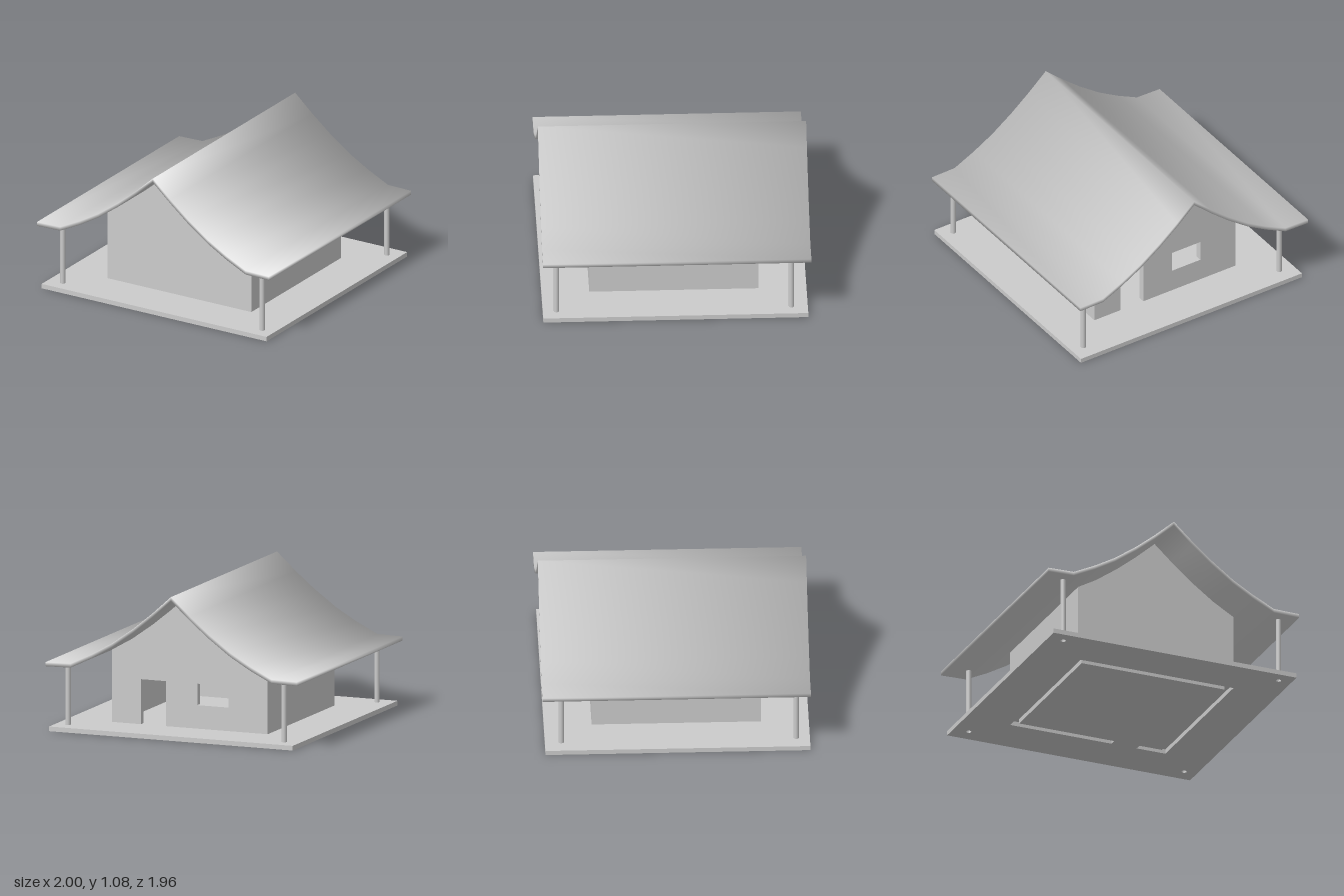
import * as THREE from 'three';

const material = new THREE.MeshStandardMaterial({ color: 0xcccccc });
const FLOOR = 0.035, ROOF_T = 0.03, WALL_T = 0.05;
const LO = -0.61, HI = 0.63; // house footprint, same in x and z
const DOOR = [0.2, 0.4];

// Right half of the swept roof line, ridge to eave
const half = [[0, 1.075], [0.15, 0.94], [0.3, 0.817], [0.47, 0.695], [0.63, 0.603], [0.8, 0.52], [1, 0.516]];
const roofLine = [...half.slice(1).reverse().map(([x, y]) => [-x, y]), ...half];

// Height inside the roof thickness, so walls meet it without gaps
function wallTop(x) {
  const a = Math.abs(x);
  const i = half.findIndex((p) => p[0] >= a);
  if (i === 0) return half[0][1] - ROOF_T / 2;
  const [x0, y0] = half[i - 1], [x1, y1] = half[i];
  return y0 + (y1 - y0) * (a - x0) / (x1 - x0) - ROOF_T / 2;
}

function toShape(points) {
  return new THREE.Shape(points.map(([x, y]) => new THREE.Vector2(x, y)));
}

function addMesh(group, name, geometry) {
  const mesh = new THREE.Mesh(geometry, material);
  mesh.name = name;
  group.add(mesh);
  return mesh;
}

function extrude(shape, depth) {
  return new THREE.ExtrudeGeometry(shape, { depth, bevelEnabled: false, curveSegments: 6 });
}

// Curved slab with vertices shared between faces, softly rounded towards both ends
function roofGeometry(halfLength) {
  const n = roofLine.length, count = 2 * n;
  const loop = [...roofLine, ...[...roofLine].reverse().map(([x, y]) => [x, y - ROOF_T])];
  const positions = [], index = [];
  for (const z of [halfLength, -halfLength]) for (const [x, y] of loop) positions.push(x, y, z);
  for (let i = 0; i < count; i++) {
    const j = (i + 1) % count;
    index.push(i, j, j + count, i, j + count, i + count);
  }
  const geometry = new THREE.BufferGeometry();
  geometry.setAttribute('position', new THREE.Float32BufferAttribute(positions, 3));
  geometry.setIndex(index);
  geometry.computeVertexNormals();
  const normal = geometry.attributes.normal, v = new THREE.Vector3();
  for (let i = 0; i < normal.count; i++) {
    v.fromBufferAttribute(normal, i).setZ(i < count ? 1 : -1).normalize();
    normal.setXYZ(i, v.x, v.y, v.z);
  }
  // End caps
  for (let i = 0; i < n - 1; i++) {
    const a = i, b = i + 1, c = count - 2 - i, d = count - 1 - i;
    index.push(a, d, c, a, c, b);
    index.push(a + count, c + count, d + count, a + count, b + count, c + count);
  }
  geometry.setIndex(index);
  return geometry;
}

// Gable outline; the optional door is a notch in the bottom edge
function gableShape(door) {
  const bottom = [[LO, FLOOR]];
  if (door) bottom.push([door[0], FLOOR], [door[0], 0.37], [door[1], 0.37], [door[1], FLOOR]);
  bottom.push([HI, FLOOR]);
  const xs = [HI, ...roofLine.map((p) => p[0]).filter((x) => x > LO && x < HI).reverse(), LO];
  return toShape([...bottom, ...xs.map((x) => [x, wallTop(x)])]);
}

export function createModel() {
  const model = new THREE.Group();
  model.name = 'house';
  const posts = [];
  for (const x of [-0.84, 0.88]) for (const z of [-0.84, 0.88]) posts.push([x, z]);

  // Floor slab with a wall slot (interrupted at the door) and post sockets
  const slab = toShape([[-0.96, -0.96], [0.98, -0.96], [0.98, 0.98], [-0.96, 0.98]]);
  const li = LO + WALL_T, hi = HI - WALL_T;
  slab.holes.push(toShape([
    [DOOR[1], LO], [HI, LO], [HI, HI], [LO, HI], [LO, LO], [DOOR[0], LO],
    [DOOR[0], li], [li, li], [li, hi], [hi, hi], [hi, li], [DOOR[1], li],
  ]));
  for (const [x, z] of posts) {
    const socket = new THREE.Path();
    socket.absarc(x, z, 0.02, 0, Math.PI * 2, true);
    slab.holes.push(socket);
  }
  addMesh(model, 'floorSlab', extrude(slab, FLOOR).rotateX(Math.PI / 2).translate(0, FLOOR, 0));

  // Gable walls: plain at the front, door and window at the back
  addMesh(model, 'frontWall', extrude(gableShape(), WALL_T).translate(0, 0, hi));
  const back = gableShape(DOOR);
  back.holes.push(toShape([[-0.3, 0.21], [-0.3, 0.37], [-0.05, 0.37], [-0.05, 0.21]]));
  addMesh(model, 'backWall', extrude(back, WALL_T).translate(0, 0, LO));

  // Side walls with sloping tops
  for (const [name, x0, x1] of [['rightWall', LO, li], ['leftWall', hi, HI]]) {
    const side = toShape([[x0, FLOOR], [x1, FLOOR], [x1, wallTop(x1)], [x0, wallTop(x0)]]);
    addMesh(model, name, extrude(side, hi - li).translate(0, 0, li));
  }

  // Corner posts under the eaves
  for (const [x, z] of posts) {
    const height = 0.5 - FLOOR;
    const post = addMesh(model, 'post', new THREE.CylinderGeometry(0.02, 0.02, height, 12));
    post.position.set(x, FLOOR + height / 2, z);
  }

  const roof = addMesh(model, 'roof', roofGeometry(0.982));
  roof.position.y = 0;
  return model;
}
